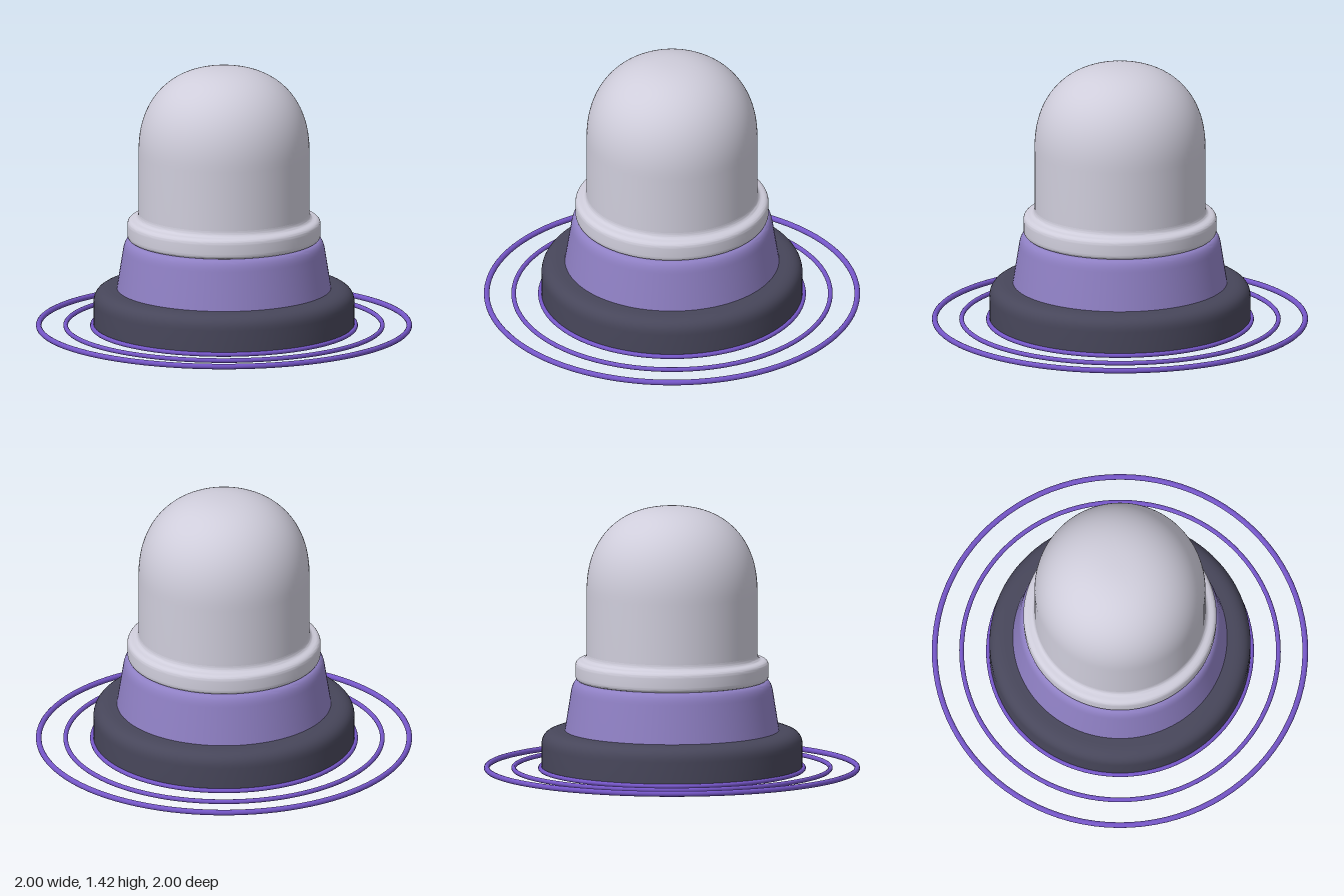
import * as THREE from 'three';
import { toCreasedNormals } from 'three/addons/utils/BufferGeometryUtils.js';

const material = (name, color) => {
  const m = new THREE.MeshStandardMaterial({ color });
  m.name = name;
  return m;
};

// Profile points of a rounded corner, from (x0, y0) round (cx, cy) to (x1, y1)
function corner(x0, y0, cx, cy, x1, y1) {
  return new THREE.QuadraticBezierCurve(
    new THREE.Vector2(x0, y0), new THREE.Vector2(cx, cy), new THREE.Vector2(x1, y1)
  ).getPoints(8);
}

function turned(name, points, mat) {
  const geometry = toCreasedNormals(new THREE.LatheGeometry(points, 96), 0.7);
  const mesh = new THREE.Mesh(geometry, mat);
  mesh.name = name;
  return mesh;
}

export function createModel() {
  const shell = material('pale grey', 0xcfcddb);
  const violet = material('soft violet', 0x8f80c4);
  const dark = material('dark slate', 0x47465a);
  const glow = material('bright violet', 0x7556c8);
  const v = (x, y) => new THREE.Vector2(x, y);
  const group = new THREE.Group();

  // Foot with a rounded shoulder
  group.add(turned('base', [
    v(0, 0.003), v(0.694, 0.003),
    ...corner(0.694, 0.14, 0.694, 0.218, 0.605, 0.22), v(0, 0.22),
  ], dark));

  // Tapered collar
  group.add(turned('collar', [
    v(0, 0.2), v(0.573, 0.2),
    ...corner(0.537, 0.425, 0.528, 0.487, 0.495, 0.487), v(0, 0.487),
  ], violet));

  // Rim under the dome, with a small fillet into its wall
  group.add(turned('rim', [
    v(0, 0.486), v(0.49, 0.486),
    ...corner(0.495, 0.488, 0.514, 0.49, 0.514, 0.515),
    ...corner(0.514, 0.565, 0.514, 0.593, 0.485, 0.597),
    ...corner(0.478, 0.598, 0.456, 0.602, 0.455, 0.63),
  ], shell));

  // Dome: straight wall closing in a squarish curve
  const dome = [v(0.455, 0.6)];
  for (let i = 0; i <= 32; i++) {
    const a = (i / 32) * Math.PI / 2;
    const e = 2 / 2.3;
    dome.push(v(0.455 * Math.max(0, Math.cos(a)) ** e, 0.95 + 0.467 * Math.sin(a) ** e));
  }
  dome[dome.length - 1].x = 0;
  group.add(turned('dome', dome, shell));

  // Concentric floor rings
  const rings = new THREE.Group();
  rings.name = 'floorRings';
  for (const [radius, tube] of [[0.7, 0.012], [0.842, 0.0125], [0.985, 0.015]]) {
    const ring = new THREE.Mesh(new THREE.TorusGeometry(radius, tube, 12, 96), glow);
    ring.name = 'floorRing';
    ring.rotation.x = Math.PI / 2;
    ring.position.y = 0.015;
    rings.add(ring);
  }
  group.add(rings);
  return group;
}
